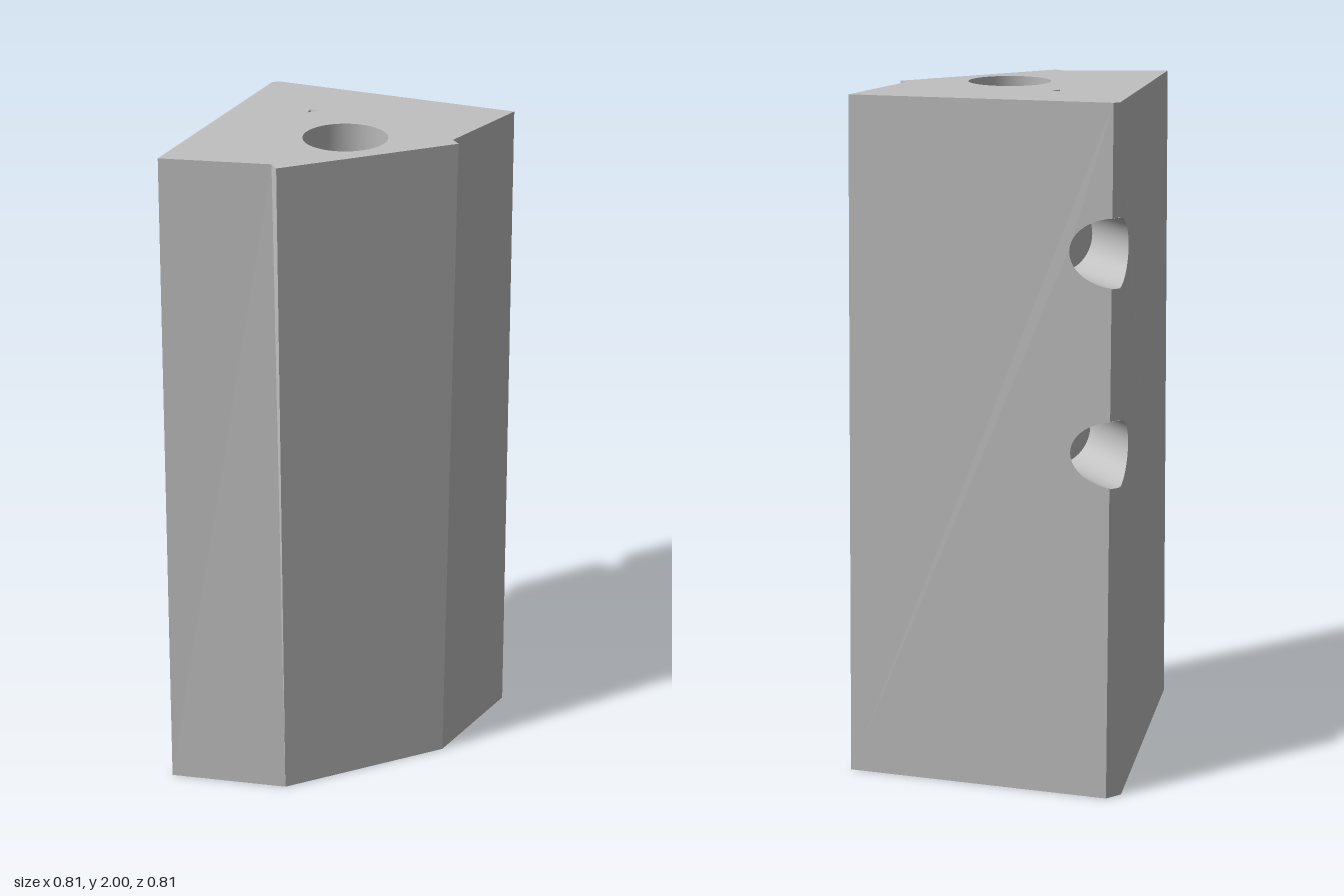
import * as THREE from 'three';

const H = 2, R2 = Math.SQRT2;
// Outlines [x, z], same point order at both ends; symmetric about the x = z diagonal
const TOP = [[0.375, -0.375], [0.3, -0.075], [0.325, -0.05], [-0.05, 0.325],
  [-0.075, 0.3], [-0.375, 0.375], [-0.375, -0.36], [-0.36, -0.375]];
const BOTTOM = [[0.405, -0.398], [0.325, -0.05], [0.325, -0.05], [-0.05, 0.325],
  [-0.05, 0.325], [-0.398, 0.405], [-0.407, -0.37], [-0.37, -0.407]];
const PIT = [[-0.168, -0.169], [-0.14, -0.163], [-0.163, -0.14]];
const BORE_TOP = { c: 0.02, r: 0.118 }, BORE_BOTTOM = { c: -0.07, r: 0.27 };
const NOTCH_Y = [1.03, 1.595], NOTCH_R = 0.097, NOTCH_END = -0.26;

const lerp = THREE.MathUtils.lerp;
// Outline corner i at height y
const corner = (i, y) => [0, 1].map(k => lerp(BOTTOM[i % 8][k], TOP[i % 8][k], y / H));
const lateral = p => (p[0] - p[1]) / R2;

// Fraction along the back wall, from the notched corner, at a lateral distance
function wallFraction(l, y) {
  const a = lateral(corner(7, y)), b = lateral(corner(0, y));
  return Math.max(0, (l - a) / (b - a));
}

// Half-round cuts along the corner edge, from bottom to top, as [fraction, y]
function notchCuts() {
  const pts = [];
  for (const yc of NOTCH_Y) {
    for (let k = 0; k <= 24; k++) {
      const t = -Math.PI / 2 + Math.PI * k / 24;
      const y = yc + NOTCH_R * Math.sin(t);
      pts.push([wallFraction(NOTCH_R * Math.cos(t), y), y]);
    }
  }
  return pts;
}

// Flat wall between outline corners i and i + 1, for heights y0 to y1
function wall(i, y0 = 0, y1 = H) {
  const pts = [[0, y0], [1, y0]];
  if (i === 7) pts.push(...notchCuts().map(([s, y]) => [1 - s, y]));
  pts.push([1, y1], [0, y1]);
  if (i === 5) pts.push(...notchCuts().reverse());
  const geo = new THREE.ShapeGeometry(new THREE.Shape(pts.map(p => new THREE.Vector2(...p))));
  const pos = geo.attributes.position;
  for (let n = 0; n < pos.count; n++) {
    const s = pos.getX(n), y = pos.getY(n), a = corner(i + 1, y), b = corner(i, y);
    pos.setXYZ(n, lerp(a[0], b[0], s), y, lerp(a[1], b[1], s));
  }
  const flat = geo.toNonIndexed();
  flat.computeVertexNormals();
  return flat;
}

// End face with the bore opening, and any extra hole
function cap(outline, bore, sign, extra) {
  const to2D = p => new THREE.Vector2(p[0], sign * p[1]);
  const shape = new THREE.Shape(outline.map(to2D));
  shape.holes.push(new THREE.Path().absarc(bore.c, sign * bore.c, bore.r, 0, Math.PI * 2));
  if (extra) shape.holes.push(new THREE.Path(extra.map(to2D)));
  return new THREE.ShapeGeometry(shape, 32).rotateX(sign * Math.PI / 2);
}

// Tapered bore that leans from the bottom opening to the top one
function boreGeometry() {
  const geo = new THREE.CylinderGeometry(BORE_TOP.r, BORE_BOTTOM.r, H, 64, 1, true);
  const pos = geo.attributes.position;
  for (let n = 0; n < pos.count; n++) {
    const y = pos.getY(n) + H / 2, c = lerp(BORE_BOTTOM.c, BORE_TOP.c, y / H);
    pos.setXYZ(n, pos.getX(n) + c, y, pos.getZ(n) + c);
  }
  return geo;
}

// Round side of a blind hole running along the diagonal, trimmed by the walls
function notchGeometry(yc) {
  const N = 48, verts = [], index = [];
  for (let k = 0; k <= N; k++) {
    const t = Math.PI * 2 * k / N, l = NOTCH_R * Math.cos(t), y = yc + NOTCH_R * Math.sin(t);
    const s = wallFraction(Math.abs(l), y), a = corner(7, y), b = corner(0, y);
    const start = lerp(a[0] + a[1], b[0] + b[1], s) / R2;
    for (const d of [start, NOTCH_END]) verts.push((d + l) / R2, y, (d - l) / R2);
    if (k < N) {
      const n = 2 * k;
      index.push(n, n + 1, n + 2, n + 1, n + 3, n + 2);
    }
  }
  const geo = new THREE.BufferGeometry();
  geo.setAttribute('position', new THREE.Float32BufferAttribute(verts, 3));
  geo.setIndex(index);
  geo.computeVertexNormals();
  return geo;
}

// Small three-sided pit in the top face
function pitGeometry() {
  const verts = [];
  PIT.forEach((p, i) => {
    const q = PIT[(i + 1) % 3];
    verts.push(p[0], H, p[1], q[0], H, q[1], -0.157, H - 0.06, -0.157);
  });
  const geo = new THREE.BufferGeometry();
  geo.setAttribute('position', new THREE.Float32BufferAttribute(verts, 3));
  geo.computeVertexNormals();
  return geo;
}

export function createModel() {
  const model = new THREE.Group();
  model.name = 'taperedBlock';
  const grey = new THREE.MeshStandardMaterial({ color: 0xc0c0c0, side: THREE.DoubleSide });
  grey.name = 'grey';
  const add = (name, geo) => {
    const mesh = new THREE.Mesh(geo, grey);
    mesh.name = name;
    model.add(mesh);
    return mesh;
  };

  // Side walls
  const names = ['leftFrontWall', 'leftStep', 'frontWall', 'rightStep', 'rightFrontWall', 'rightWall', '', 'backWall'];
  names.forEach((name, i) => { if (name) add(name, wall(i)); });

  // Narrow corner bevel, interrupted by the notches
  const stops = [0, ...NOTCH_Y.flatMap(y => [y - NOTCH_R, y + NOTCH_R]), H];
  for (let k = 0; k < stops.length; k += 2) add('cornerBevel', wall(6, stops[k], stops[k + 1]));

  // End faces and central bore
  add('topFace', cap(TOP, BORE_TOP, -1, PIT)).position.y = H;
  add('bottomFace', cap(BOTTOM.filter((p, i) => i !== 2 && i !== 4), BORE_BOTTOM, 1));
  add('bore', boreGeometry());
  add('topPit', pitGeometry());

  // Blind holes in the back corner
  for (const y of NOTCH_Y) {
    add('notchSide', notchGeometry(y));
    const end = add('notchEnd', new THREE.CircleGeometry(NOTCH_R, 48));
    end.position.set(NOTCH_END / R2, y, NOTCH_END / R2);
    end.rotation.y = -Math.PI * 3 / 4;
  }
  return model;
}
